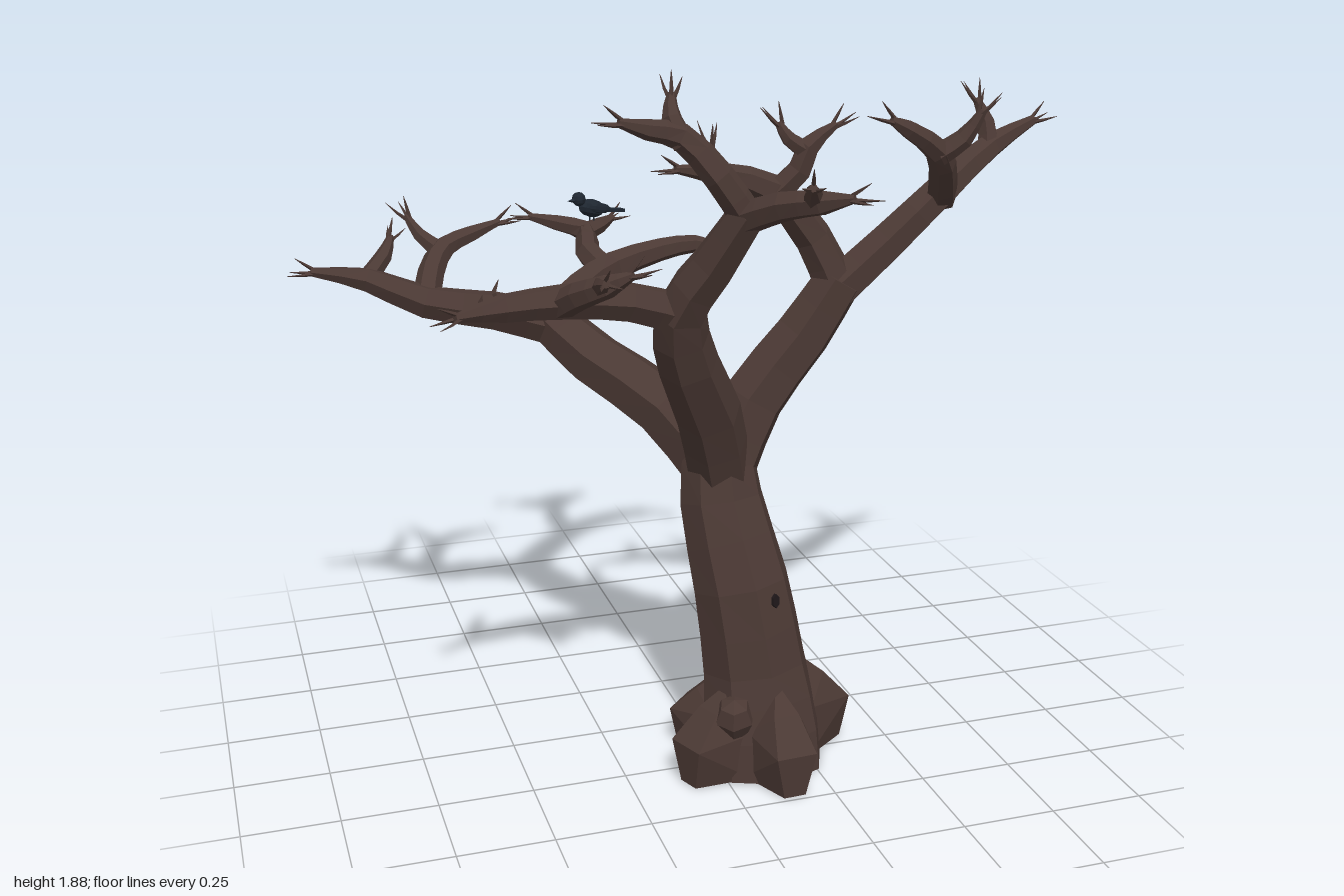
import * as THREE from 'three';
import { ConvexGeometry } from 'three/addons/geometries/ConvexGeometry.js';

const V = (x, y, z) => new THREE.Vector3(x, y, z);

const bark = new THREE.MeshStandardMaterial({ color: 0x4b3934, flatShading: true });
bark.name = 'bark';
const hollow = new THREE.MeshStandardMaterial({ color: 0x1e1719, flatShading: true });
hollow.name = 'hollow';
const feather = new THREE.MeshStandardMaterial({ color: 0x1f2731, flatShading: true });
feather.name = 'feather';

// Faceted tapering tube through points [x, y, z, radius]
function limbGeometry(pts, sides, stepsPerSpan) {
  const curve = new THREE.CatmullRomCurve3(pts.map(p => V(p[0], p[1], p[2])));
  const n = (pts.length - 1) * stepsPerSpan;
  const pos = [], idx = [];
  let u = V(1, 0, 0);
  if (Math.abs(curve.getTangent(0).x) > 0.8) u = V(0, 0, 1);
  for (let i = 0; i <= n; i++) {
    const f = i / n, c = curve.getPoint(f), t = curve.getTangent(f);
    u.addScaledVector(t, -u.dot(t)).normalize();
    const v = t.clone().cross(u);
    const k = Math.min(Math.floor(i / stepsPerSpan), pts.length - 2);
    const r = THREE.MathUtils.lerp(pts[k][3], pts[k + 1][3], i / stepsPerSpan - k);
    for (let j = 0; j < sides; j++) {
      const a = (j / sides) * Math.PI * 2;
      const p = c.clone().addScaledVector(u, r * Math.cos(a)).addScaledVector(v, r * Math.sin(a));
      pos.push(p.x, p.y, p.z);
    }
  }
  for (let i = 0; i < n; i++) for (let j = 0; j < sides; j++) {
    const a = i * sides + j, b = i * sides + (j + 1) % sides;
    idx.push(a, b, a + sides, b, b + sides, a + sides);
  }
  // end caps
  for (let j = 1; j < sides - 1; j++) {
    idx.push(0, j + 1, j, n * sides, n * sides + j, n * sides + j + 1);
  }
  const g = new THREE.BufferGeometry();
  g.setAttribute('position', new THREE.Float32BufferAttribute(pos, 3));
  g.setIndex(idx);
  g.computeVertexNormals();
  return g;
}

function add(parent, name, geometry, material) {
  const m = new THREE.Mesh(geometry, material);
  m.name = name;
  parent.add(m);
  return m;
}

// Three thin, bent twigs splaying from a branch end
function addTwigs(parent, pts) {
  const e = pts[pts.length - 1], q = pts[pts.length - 2];
  const tip = V(e[0], e[1], e[2]);
  const t = tip.clone().sub(V(q[0], q[1], q[2])).normalize();
  const u = V(0, 1, 0).cross(t).normalize(), v = t.clone().cross(u);
  for (let k = 0; k < 3; k++) {
    const a = Math.PI / 2 + k * Math.PI * 2 / 3;
    const out = u.clone().multiplyScalar(Math.cos(a)).addScaledVector(v, Math.sin(a));
    const at = (along, side, r) => {
      const p = tip.clone().addScaledVector(t, along).addScaledVector(out, side);
      return [p.x, p.y, p.z, r];
    };
    add(parent, 'twig', limbGeometry([at(-0.012, 0.005, 0.006), at(0.018, 0.018, 0.004),
      at(0.045 + 0.007 * k, 0.03, 0.0006)], 4, 1), bark);
  }
}

function addBranch(parent, name, pts, hasTwigs) {
  const g = new THREE.Group();
  g.name = name;
  add(g, name + 'Wood', limbGeometry(pts, 6, 2), bark);
  if (hasTwigs) addTwigs(g, pts);
  parent.add(g);
}

export function createModel() {
  const tree = new THREE.Group();
  tree.name = 'bareTree';

  // Trunk
  add(tree, 'trunk', limbGeometry([[0.13, 0, 0.25, 0.175], [0.13, 0.1, 0.249, 0.165],
    [0.118, 0.27, 0.225, 0.143], [0.085, 0.5, 0.205, 0.13], [0.05, 0.72, 0.14, 0.113],
    [0.05, 0.9, 0.11, 0.09]], 8, 2), bark);

  // Root flares: [heading in degrees from +x towards +z, reach, height]
  const rootPoints = [V(0.1, 0.28, 0)];
  for (const s of [-1, 1]) {
    rootPoints.push(V(0.18, 0.21, s * 0.035), V(0.255, 0.125, s * 0.055), V(0.245, 0, s * 0.03),
      V(0.1, 0, s * 0.085), V(0.11, 0.14, s * 0.08));
  }
  const rootGeometry = new ConvexGeometry(rootPoints);
  for (const [deg, reach, height] of [[87, 0.97, 0.95], [158, 1.03, 0.92], [224, 0.97, 0.85],
    [284, 0.97, 0.95], [344, 1.02, 1.02]]) {
    const root = add(tree, 'root', rootGeometry, bark);
    root.position.set(0.13, 0, 0.25);
    root.rotation.y = -THREE.MathUtils.degToRad(deg);
    root.scale.set(reach, height, 1);
  }

  // Rounded knots on the trunk and a small hole
  for (const [x, y, z, r] of [[0.158, 0.53, 0.112, 0.062], [0.07, 0.685, 0.04, 0.052],
    [0.02, 0.18, 0.35, 0.055], [0.08, 0.2, 0.1, 0.055]]) {
    const knot = add(tree, 'knot', new THREE.SphereGeometry(r, 6, 4), bark);
    knot.position.set(x, y, z);
    knot.rotation.set(0.25, x * 9, 0.1);
    knot.scale.y = 1.12;
  }
  const hole = add(tree, 'trunkHole', new THREE.CylinderGeometry(0.012, 0.012, 0.008, 6), hollow);
  hole.position.set(0.14, 0.485, 0.323);
  hole.rotation.set(Math.PI / 2 - 0.15, 0, -0.4);
  hole.scale.z = 1.6;

  // Left main limb and its branches
  addBranch(tree, 'leftLimb', [[0.06, 0.78, 0.12, 0.09], [0.15, 0.97, 0.105, 0.087],
    [0.28, 1.14, 0.12, 0.078], [0.37, 1.29, 0.145, 0.066]]);
  addBranch(tree, 'leftOuterBranch', [[0.35, 1.25, 0.14, 0.06], [0.5, 1.38, 0.15, 0.054],
    [0.65, 1.52, 0.165, 0.046], [0.8, 1.61, 0.115, 0.034], [0.93, 1.67, 0.1, 0.013]], true);
  addBranch(tree, 'leftOuterShoot', [[0.79, 1.6, 0.12, 0.03], [0.79, 1.67, 0.1, 0.024],
    [0.765, 1.73, 0.085, 0.01]], true);
  addBranch(tree, 'leftFrontBranch', [[0.64, 1.49, 0.165, 0.04], [0.6, 1.56, 0.25, 0.037],
    [0.55, 1.64, 0.32, 0.033], [0.46, 1.7, 0.34, 0.024], [0.41, 1.725, 0.345, 0.01]], true);
  addBranch(tree, 'leftFrontShoot', [[0.55, 1.63, 0.32, 0.03], [0.61, 1.67, 0.335, 0.025],
    [0.65, 1.74, 0.355, 0.01]], true);
  addBranch(tree, 'leftInnerBranch', [[0.37, 1.25, 0.14, 0.057], [0.3, 1.4, 0.125, 0.05],
    [0.18, 1.53, 0.13, 0.042], [0.05, 1.575, 0.13, 0.03], [-0.08, 1.6, 0.155, 0.01]], true);
  addBranch(tree, 'leftInnerTwig', [[0.05, 1.57, 0.13, 0.025], [0.03, 1.61, 0.11, 0.02],
    [0.03, 1.65, 0.1, 0.01]], true);
  addBranch(tree, 'leftInnerShoot', [[0.18, 1.51, 0.13, 0.036], [0.25, 1.58, 0.15, 0.034],
    [0.27, 1.64, 0.16, 0.03], [0.34, 1.695, 0.17, 0.01]], true);
  addBranch(tree, 'leftInnerTwig', [[0.265, 1.63, 0.16, 0.026], [0.22, 1.66, 0.15, 0.02],
    [0.195, 1.7, 0.14, 0.01]], true);

  // Back main limb and its branches
  addBranch(tree, 'backLimb', [[0.05, 0.78, 0.11, 0.085], [-0.07, 0.945, 0.02, 0.085],
    [-0.22, 1.05, -0.12, 0.077], [-0.31, 1.135, -0.29, 0.066]]);
  addBranch(tree, 'backRightBranch', [[-0.28, 1.11, -0.26, 0.062], [-0.46, 1.165, -0.27, 0.054],
    [-0.64, 1.2, -0.28, 0.046], [-0.78, 1.25, -0.37, 0.035], [-0.93, 1.28, -0.38, 0.012]], true);
  addBranch(tree, 'backRightTwig', [[-0.79, 1.245, -0.37, 0.028], [-0.73, 1.3, -0.42, 0.023],
    [-0.7, 1.34, -0.48, 0.01]], true);
  addBranch(tree, 'backRightShoot', [[-0.64, 1.2, -0.28, 0.038], [-0.61, 1.26, -0.37, 0.036],
    [-0.56, 1.31, -0.44, 0.032], [-0.48, 1.34, -0.455, 0.024], [-0.4, 1.37, -0.45, 0.01]], true);
  addBranch(tree, 'backRightTwig', [[-0.57, 1.3, -0.43, 0.028], [-0.62, 1.34, -0.48, 0.02],
    [-0.65, 1.39, -0.51, 0.01]], true);
  addBranch(tree, 'backInnerBranch', [[-0.32, 1.11, -0.27, 0.06], [-0.2, 1.17, -0.39, 0.052],
    [-0.07, 1.205, -0.5, 0.045], [0.09, 1.235, -0.55, 0.034], [0.2, 1.245, -0.555, 0.026],
    [0.28, 1.235, -0.52, 0.01]], true);
  addBranch(tree, 'backRearBranch', [[-0.08, 1.19, -0.48, 0.042], [-0.12, 1.235, -0.58, 0.037],
    [-0.1, 1.275, -0.69, 0.032], [-0.18, 1.3, -0.715, 0.024], [-0.26, 1.32, -0.735, 0.01]], true);
  addBranch(tree, 'perchBranch', [[-0.11, 1.27, -0.68, 0.03], [-0.05, 1.285, -0.71, 0.024],
    [0.0, 1.3, -0.745, 0.01]], true);

  // Front main limb and its branches
  addBranch(tree, 'frontLimb', [[0.05, 0.78, 0.14, 0.085], [-0.01, 0.98, 0.22, 0.085],
    [-0.09, 1.14, 0.3, 0.077], [-0.13, 1.29, 0.36, 0.068], [-0.07, 1.42, 0.43, 0.058],
    [-0.01, 1.56, 0.51, 0.047]]);
  addBranch(tree, 'frontOuterBranch', [[-0.02, 1.54, 0.5, 0.04], [0.04, 1.585, 0.6, 0.036],
    [0.1, 1.605, 0.68, 0.03], [0.155, 1.62, 0.735, 0.01]], true);
  addBranch(tree, 'frontOuterTwig', [[0.09, 1.6, 0.66, 0.025], [0.07, 1.63, 0.7, 0.02],
    [0.055, 1.65, 0.74, 0.01]], true);
  addBranch(tree, 'frontTopBranch', [[-0.01, 1.54, 0.5, 0.04], [-0.08, 1.64, 0.5, 0.037],
    [-0.16, 1.73, 0.46, 0.032], [-0.24, 1.75, 0.465, 0.024], [-0.31, 1.77, 0.475, 0.01]], true);
  addBranch(tree, 'frontTopShoot', [[-0.15, 1.71, 0.465, 0.03], [-0.175, 1.77, 0.44, 0.024],
    [-0.165, 1.82, 0.405, 0.01]], true);
  addBranch(tree, 'frontRightBranch', [[-0.11, 1.28, 0.36, 0.054], [-0.26, 1.33, 0.37, 0.049],
    [-0.42, 1.345, 0.38, 0.043], [-0.57, 1.345, 0.4, 0.034], [-0.69, 1.345, 0.455, 0.01]], true);
  addBranch(tree, 'frontRightTwig', [[-0.6, 1.34, 0.4, 0.028], [-0.595, 1.35, 0.35, 0.022],
    [-0.57, 1.35, 0.3, 0.01]], true);
  addBranch(tree, 'frontRightShoot', [[-0.43, 1.335, 0.38, 0.036], [-0.4, 1.375, 0.45, 0.034],
    [-0.35, 1.41, 0.52, 0.028], [-0.3, 1.44, 0.555, 0.01]], true);
  addBranch(tree, 'frontRightTwig', [[-0.36, 1.4, 0.5, 0.025], [-0.37, 1.42, 0.54, 0.02],
    [-0.37, 1.43, 0.58, 0.01]], true);

  // Perched bird, facing the right side
  const bird = new THREE.Group();
  bird.name = 'bird';
  const body = add(bird, 'birdBody', new THREE.SphereGeometry(0.028, 8, 6), feather);
  body.scale.set(1.7, 0.95, 0.95);
  body.rotation.z = -0.25;
  add(bird, 'birdHead', new THREE.SphereGeometry(0.021, 8, 6), feather).position.set(-0.045, 0.032, 0);
  const beak = add(bird, 'birdBeak', new THREE.ConeGeometry(0.008, 0.025, 5), feather);
  beak.position.set(-0.073, 0.03, 0);
  beak.rotation.z = Math.PI / 2;
  const tail = add(bird, 'birdTail', new THREE.BoxGeometry(0.08, 0.009, 0.025), feather);
  tail.position.set(0.073, -0.014, 0);
  tail.rotation.z = -0.12;
  for (const s of [-1, 1]) {
    const wing = add(bird, 'birdWing', new THREE.SphereGeometry(0.022, 6, 5), feather);
    wing.scale.set(1.8, 0.7, 0.3);
    wing.position.set(0.014, 0.002, s * 0.024);
    wing.rotation.z = -0.2;
    const leg = add(bird, 'birdLeg', new THREE.CylinderGeometry(0.003, 0.003, 0.03, 4), feather);
    leg.position.set(0, -0.033, s * 0.01);
  }
  bird.position.set(-0.073, 1.338, -0.71);
  bird.rotation.y = 0.35;
  tree.add(bird);

  return tree;
}
